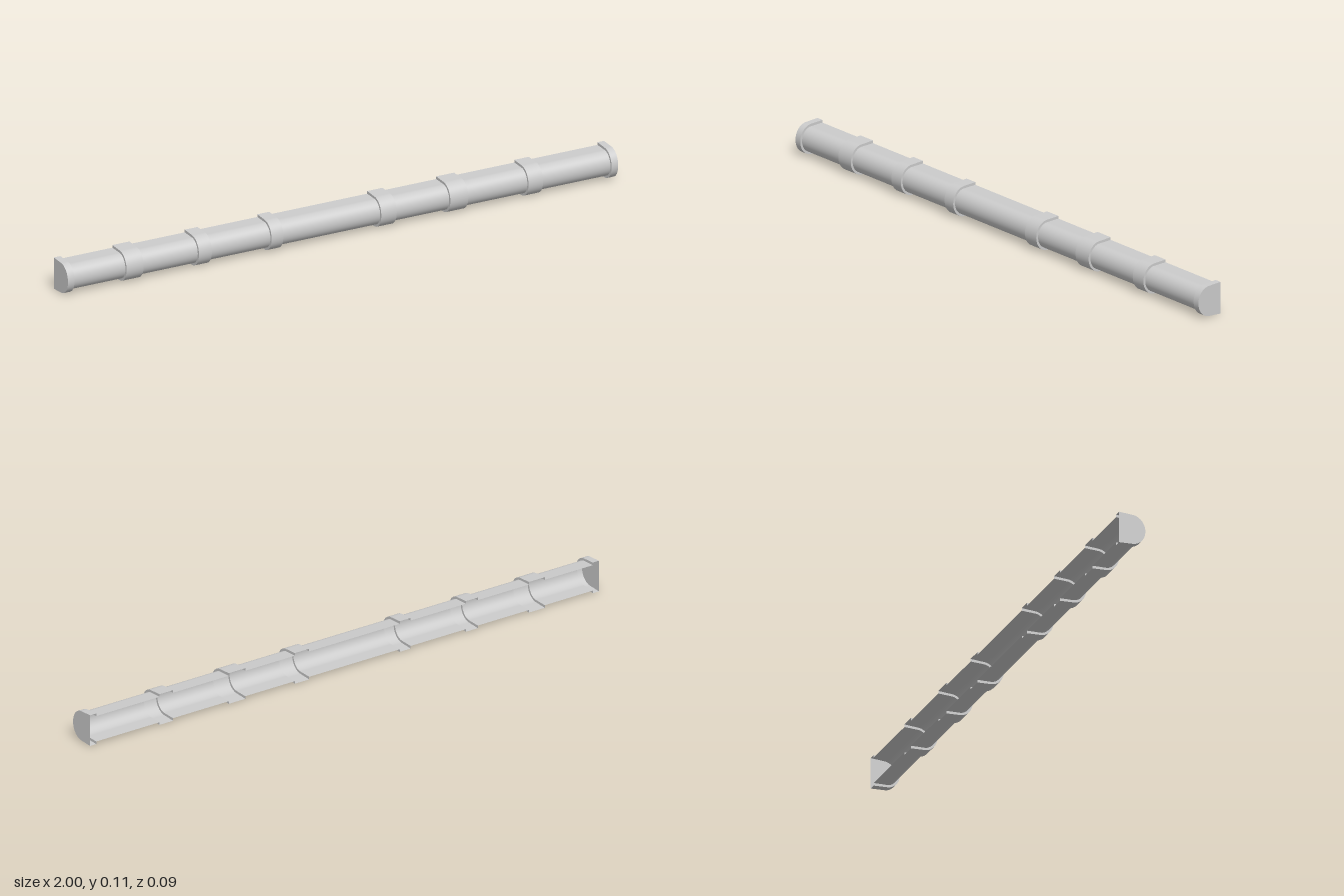
import * as THREE from 'three';

const CY = 0.053;     // height of the gutter axis
const BACK = -0.045;  // open rear edge

// Open D-shaped section: flared straight sides at the back, rounded front
function section(ry, rz, flare) {
  const pts = [new THREE.Vector2(BACK, CY + ry + flare)];
  const n = 24;
  for (let i = 0; i <= n; i++) {
    const a = Math.PI / 2 - (i / n) * Math.PI;
    pts.push(new THREE.Vector2(rz * Math.cos(a), CY + ry * Math.sin(a)));
  }
  pts.push(new THREE.Vector2(BACK, CY - ry - flare));
  return pts; // x holds z, y holds y
}

// Thin surface between two sections placed at two x positions
function loft(a, xa, b, xb) {
  const pos = [], idx = [];
  a.forEach((p, i) => {
    pos.push(xa, p.y, p.x, xb, b[i].y, b[i].x);
    if (i > 0) {
      const k = 2 * (i - 1);
      idx.push(k, k + 2, k + 1, k + 1, k + 2, k + 3);
    }
  });
  const g = new THREE.BufferGeometry();
  g.setAttribute('position', new THREE.Float32BufferAttribute(pos, 3));
  g.setIndex(idx);
  g.computeVertexNormals();
  return g;
}

export function createModel() {
  const model = new THREE.Group();
  model.name = 'halfRoundGutter';
  const mat = new THREE.MeshStandardMaterial({ color: 0xcccccc, side: THREE.DoubleSide });
  const add = (parent, name, geo) => {
    const m = new THREE.Mesh(geo, mat);
    m.name = name;
    parent.add(m);
  };

  const pipe = section(0.0425, 0.038, 0.0015);
  const collar = section(0.0505, 0.0455, 0.0025);

  // Wider bands along the run; the first and last are the end caps
  const bands = [
    [-1, -0.976], [-0.787, -0.725], [-0.524, -0.477], [-0.26, -0.217],
    [0.139, 0.195], [0.39, 0.455], [0.674, 0.727], [0.976, 1],
  ];

  bands.forEach(([x0, x1], i) => {
    const first = i === 0, last = i === bands.length - 1;
    const band = new THREE.Group();
    band.name = first || last ? 'endCap' : 'joinCollar';
    model.add(band);
    add(band, 'bandShell', loft(collar, x0, collar, x1));

    // Step walls down to the pipe
    if (!first) add(band, 'bandStep', loft(pipe, x0, collar, x0));
    if (!last) add(band, 'bandStep', loft(collar, x1, pipe, x1));

    // Flat wall closing each end
    if (first || last) {
      const s = last ? 1 : -1;
      const shape = new THREE.Shape(collar.map(p => new THREE.Vector2(-s * p.x, p.y)));
      const wall = new THREE.ShapeGeometry(shape);
      wall.rotateY(s * Math.PI / 2);
      wall.translate(s, 0, 0);
      add(band, 'endWall', wall);
    }

    // Narrower trough running to the next band
    if (!last) add(model, 'trough', loft(pipe, x1, pipe, bands[i + 1][0]));
  });

  return model;
}
